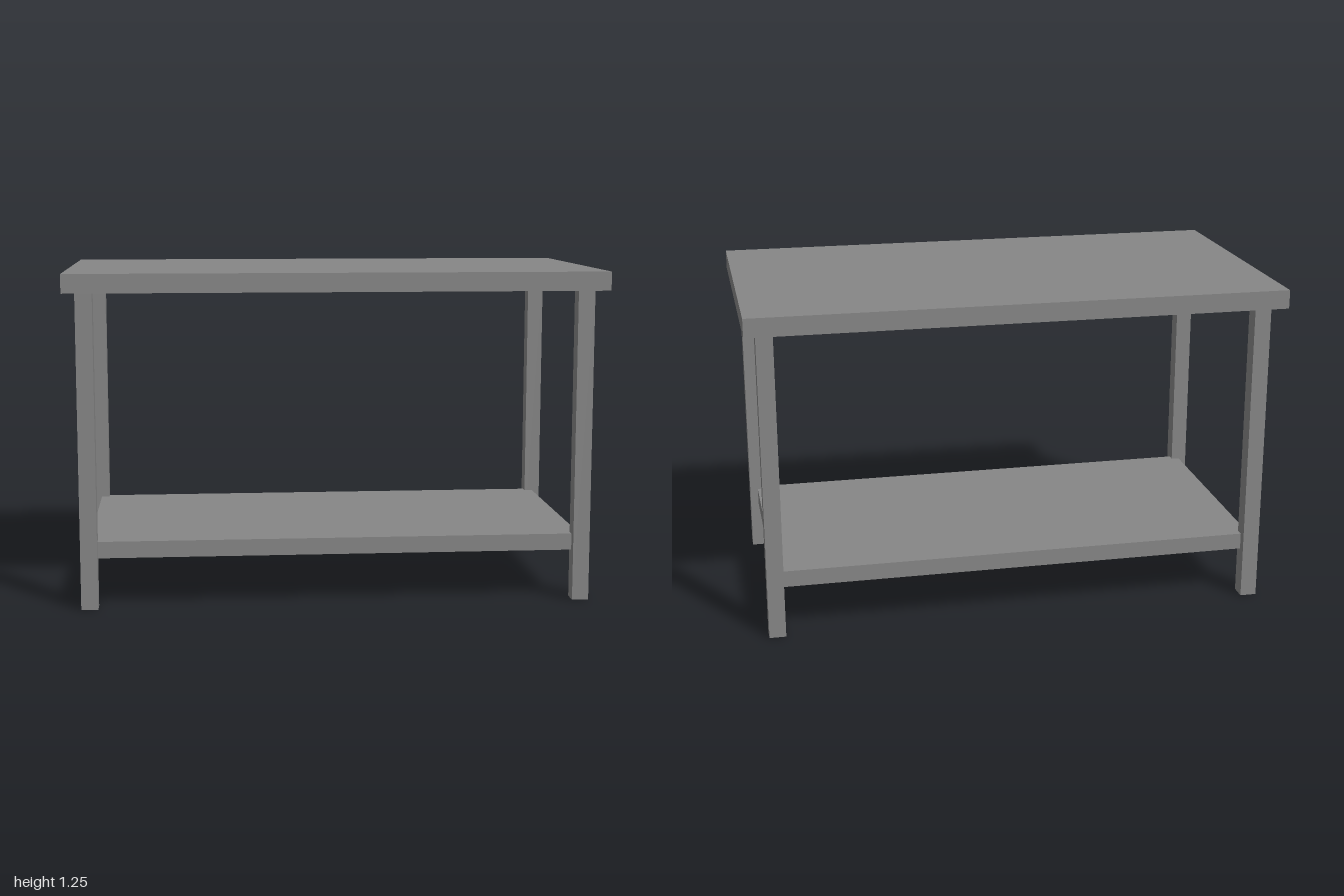
import * as THREE from 'three';

export function createModel() {
  const group = new THREE.Group();
  group.name = 'workTable';
  const grey = new THREE.MeshStandardMaterial({ color: 0x868686 });
  grey.name = 'grey';

  // Box from its size, bottom height and centre
  function addBox(name, w, h, d, bottom, x = 0, z = 0) {
    const mesh = new THREE.Mesh(new THREE.BoxGeometry(w, h, d), grey);
    mesh.name = name;
    mesh.position.set(x, bottom + h / 2, z);
    group.add(mesh);
  }

  const legX = 0.925, legZ = 0.456, legSize = 0.0625, legHeight = 1.178;

  // Table top
  addBox('tableTop', 2, 0.07, 1.1, legHeight);

  // Lower shelf, its corners let into the middle of the legs
  addBox('lowerShelf', legX * 2, 0.0625, legZ * 2, 0.188);

  // Four square legs
  for (const [zName, sz] of [['front', 1], ['back', -1]]) {
    for (const [xName, sx] of [['Left', 1], ['Right', -1]]) {
      addBox(`${zName}${xName}Leg`, legSize, legHeight, legSize, 0, sx * legX, sz * legZ);
    }
  }

  return group;
}
